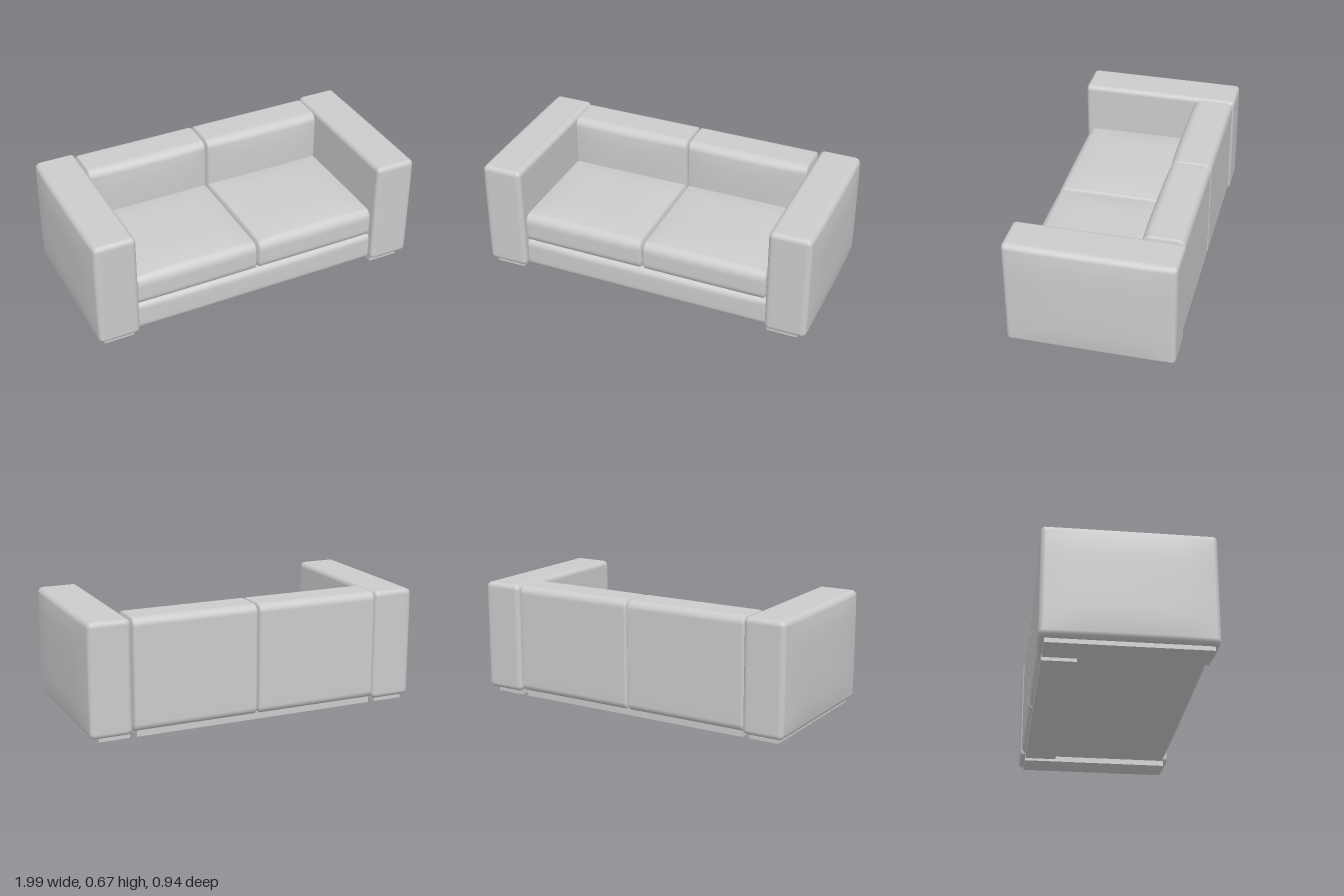
import * as THREE from 'three';
import { mergeVertices } from 'three/addons/utils/BufferGeometryUtils.js';

const AXES = ['x', 'y', 'z'];
const N = 24; // grid steps per side
const K = 5;  // steps spent on each rounded edge

// Upholstered block between corners lo and hi, with edge radii r per axis.
// Each bulge is [axis, side, amount]: that face swells towards its middle.
function pillow(lo, hi, r, bulges = []) {
  let geo = new THREE.BoxGeometry(2, 2, 2, N, N, N);
  geo.deleteAttribute('normal');
  geo.deleteAttribute('uv');
  geo = mergeVertices(geo, 1e-4);
  const pos = geo.attributes.position;
  const half = lo.map((v, i) => (hi[i] - v) / 2);
  const mid = lo.map((v, i) => (hi[i] + v) / 2);
  const v = new THREE.Vector3();

  for (let i = 0; i < pos.count; i++) {
    v.fromBufferAttribute(pos, i);
    const core = [], d = new THREE.Vector3();
    AXES.forEach((a, k) => {
      const flat = half[k] - r[k];
      const step = Math.abs(v[a]) * N / 2, inner = N / 2 - K;
      const s = Math.sign(v[a]);
      core[k] = s * flat * Math.min(step / inner, 1);
      d[a] = s * Math.tan(Math.max(0, (step - inner) / K) * Math.PI / 4);
    });
    d.normalize();
    const p = AXES.map((a, k) => core[k] + d[a] * r[k]);
    const u = p.map((c, k) => c / half[k]);
    for (const [axis, side, amount] of bulges) {
      let w = Math.max(0, side * u[axis]);
      for (let k = 0; k < 3; k++) if (k !== axis) w *= 1 - u[k] ** 4;
      p[axis] += side * amount * w;
    }
    pos.setXYZ(i, p[0] + mid[0], p[1] + mid[1], p[2] + mid[2]);
  }
  geo.computeVertexNormals();
  return geo;
}

// Plain box between two corners
function block(lo, hi) {
  const geo = new THREE.BoxGeometry(hi[0] - lo[0], hi[1] - lo[1], hi[2] - lo[2]);
  return geo.translate((lo[0] + hi[0]) / 2, (lo[1] + hi[1]) / 2, (lo[2] + hi[2]) / 2);
}

export function createModel() {
  const group = new THREE.Group();
  const material = new THREE.MeshStandardMaterial({ color: 0xcccccc, roughness: 0.9 });
  const add = (name, geo) => {
    const mesh = new THREE.Mesh(geo, material);
    mesh.name = name;
    group.add(mesh);
  };
  const CX = -0.005; // line of the seam between the cushions

  for (const s of [1, -1]) {
    const side = s > 0 ? 'left' : 'right';
    const span = (a, b) => (s > 0 ? [a, b] : [-b, -a]);

    // Armrest with a swollen outer face
    const [a0, a1] = span(0.74, 0.978);
    add(side + 'Armrest', pillow([a0, 0.025, -0.468], [a1, 0.665, 0.468], [0.03, 0.03, 0.025], [[0, s, 0.018]]));

    // Plinth under the armrest
    const [p0, p1] = span(0.76, 0.935);
    add(side + 'ArmPlinth', block([p0 - 0.01, 0, -0.437], [p1 - 0.01, 0.04, 0.439]));

    // Back and seat cushions
    const [c0, c1] = span(0.001, 0.738).map((x) => x + CX);
    add(side + 'BackCushion', pillow([c0, 0.03, -0.46], [c1, 0.663, -0.228], [0.014, 0.045, 0.045], [[2, 1, 0.018]]));
    add(side + 'SeatCushion', pillow([c0, 0.195, -0.26], [c1, 0.372, 0.445], [0.018, 0.05, 0.04], [[1, 1, 0.022], [2, 1, 0.005]]));
  }

  // Upholstered base below the seat
  add('seatBase', pillow([-0.742, 0.028, -0.27], [0.738, 0.197, 0.44], [0.012, 0.035, 0.025], [[2, 1, 0.007]]));

  // Plinth under the back
  add('backPlinth', block([-0.73, 0, -0.437], [0.71, 0.04, -0.25]));

  return group;
}
